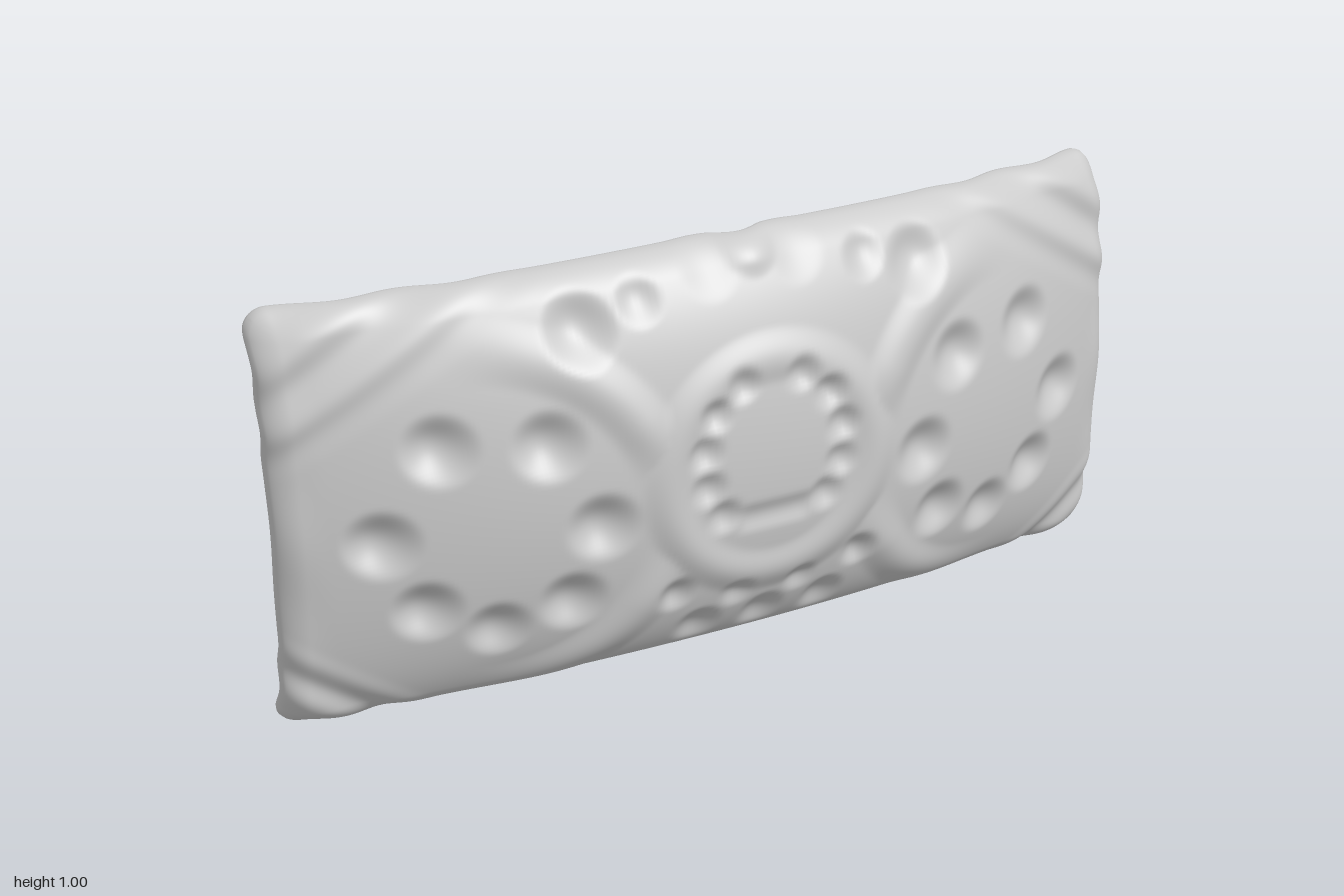
import * as THREE from 'three';
import { mergeVertices } from 'three/addons/utils/BufferGeometryUtils.js';

const HALF = 0.04;   // half of the rim thickness
const FILL = 0.033;  // extra thickness behind the field
const CORNER = 0.05; // corner rounding in the outline
const { smoothstep, lerp } = THREE.MathUtils;

// Round dimples pressed into the front, mirrored in x: [x, y, radius, depth]
const DIMPLES = [
  [0.69, 0.67, 0.085, 0.036], [0.48, 0.66, 0.085, 0.036], [0.81, 0.47, 0.085, 0.036],
  [0.38, 0.47, 0.085, 0.036], [0.73, 0.31, 0.08, 0.034], [0.59, 0.25, 0.075, 0.03],
  [0.44, 0.30, 0.08, 0.034], [0.39, 0.88, 0.085, 0.034], [0.26, 0.92, 0.055, 0.018],
  // small beads inside the medallion
  [0.07, 0.73, 0.048, 0.018], [0.135, 0.675, 0.048, 0.018], [0.16, 0.595, 0.048, 0.018],
  [0.155, 0.515, 0.048, 0.018], [0.12, 0.445, 0.048, 0.018],
  // row under the medallion
  [0, 0.16, 0.06, 0.024], [0.15, 0.16, 0.06, 0.024],
  [0.22, 0.27, 0.05, 0.02], [0.075, 0.24, 0.045, 0.014],
  // folds of the upper rim
  [0.1, 0.96, 0.07, 0.01], [0, 0.99, 0.07, -0.022]
];

const bell = (d, w) => Math.abs(d) < w ? (1 - (d / w) ** 2) ** 2 : 0;
const topEdge = x => 1 - 0.055 * Math.pow(Math.abs(x), 1.5);
const bottomEdge = x => 0.07 * (1 - 1.1 * x * x);

// Pressed ornament, the same on both faces; positive is towards the front
function relief(px, y) {
  const x = Math.abs(px);
  let d = 0;
  for (const [cx, cy, r, depth] of DIMPLES) d -= depth * bell(Math.hypot(x - cx, y - cy), r);
  // medallion: soft raised ring, and a small bar
  const ring = 0.013 * bell(Math.hypot(x, y - 0.53) - 0.245, 0.06);
  d -= 0.01 * bell(Math.max(0, x - 0.06), 0.04) * bell(y - 0.43, 0.04);
  // crescents curving around the side fields, thickest near the medallion
  const dx = x - 0.62, dy = y - 0.47;
  const turn = Math.abs(Math.atan2(dy, -dx)); // 0 towards the middle
  const taper = smoothstep(turn, 0.15, 0.6) * (1 - smoothstep(turn, 0.9, 1.75));
  const crescent = 0.017 * bell(Math.hypot(dx, dy) - 0.39, 0.07) * taper;
  d += Math.max(ring, crescent);
  // diagonal flutes across the corners
  const upper = y > 0.5;
  const s = (1 - x) * (upper ? 0.6 : 0.8) + (upper ? topEdge(x) - y : y - bottomEdge(x));
  const reach = upper ? 0.36 : 0.28;
  d -= 0.009 * Math.cos((s - 0.04) / 0.14 * Math.PI * 2) * (1 - smoothstep(s, reach * 0.6, reach));
  // gentle scallops on the side rims
  d += 0.004 * Math.cos((y - 0.2) * 22) * smoothstep(x, 0.9, 1);
  return d;
}

// Doubly curved middle surface
function middle(x, v) {
  const w = v + 0.06 * (1 - v * v); // fullest a little below half height
  const bend = 0.65 * w * w + 0.35 * w ** 6;
  return 0.154 - 0.262 * x * x - (0.154 - 0.079 * x * x) * bend;
}

// One point of the plate; side is 1 for the front, -1 for the back
function platePoint(u, v, side) {
  const tall = 0.468;
  const qx = Math.abs(u) - (1 - CORNER), qy = Math.abs(v) * tall - (tall - CORNER);
  const edge = Math.max(0, CORNER - Math.max(qx, qy));
  if (qx > 0 && qy > 0) {
    const k = Math.max(qx, qy) / Math.hypot(qx, qy);
    u = Math.sign(u) * (1 - CORNER + qx * k);
    v = Math.sign(v) * (tall - CORNER + qy * k) / tall;
  }
  const y = lerp(bottomEdge(u), topEdge(u), (v + 1) / 2);
  const round = 1 - Math.min(1, edge / CORNER);
  let thick = HALF * Math.sqrt(Math.max(0, 1 - round * round));
  // the back is fuller than the front, except towards the corners
  if (side < 0) thick += FILL * smoothstep(edge, 0, 0.06) * (1 - smoothstep(Math.abs(u * v), 0.55, 0.95));
  return [u, y, middle(u, v) + relief(u, y) + side * thick];
}

function plateGeometry(nx, ny) {
  // closer rows near the rim
  const spread = t => 0.4 * t + 0.6 * Math.sin(t * Math.PI / 2);
  const positions = [], index = [];
  for (const side of [1, -1]) {
    const base = positions.length / 3;
    for (let j = 0; j <= ny; j++)
      for (let i = 0; i <= nx; i++)
        positions.push(...platePoint(spread(2 * i / nx - 1), spread(2 * j / ny - 1), side));
    for (let j = 0; j < ny; j++)
      for (let i = 0; i < nx; i++) {
        const a = base + j * (nx + 1) + i, b = a + 1, d = a + nx + 1, c = d + 1;
        if (side > 0) index.push(a, b, c, a, c, d);
        else index.push(a, c, b, a, d, c);
      }
  }
  const g = new THREE.BufferGeometry();
  g.setAttribute('position', new THREE.Float32BufferAttribute(positions, 3));
  g.setIndex(index);
  const welded = mergeVertices(g, 1e-5); // joins both faces at the rim
  welded.computeVertexNormals();
  return welded;
}

export function createModel() {
  const group = new THREE.Group();
  group.name = 'ornamentedPanel';
  const plate = new THREE.Mesh(plateGeometry(240, 140), new THREE.MeshStandardMaterial({ color: 0xcccccc }));
  plate.name = 'curvedReliefPlate';
  group.add(plate);
  return group;
}
